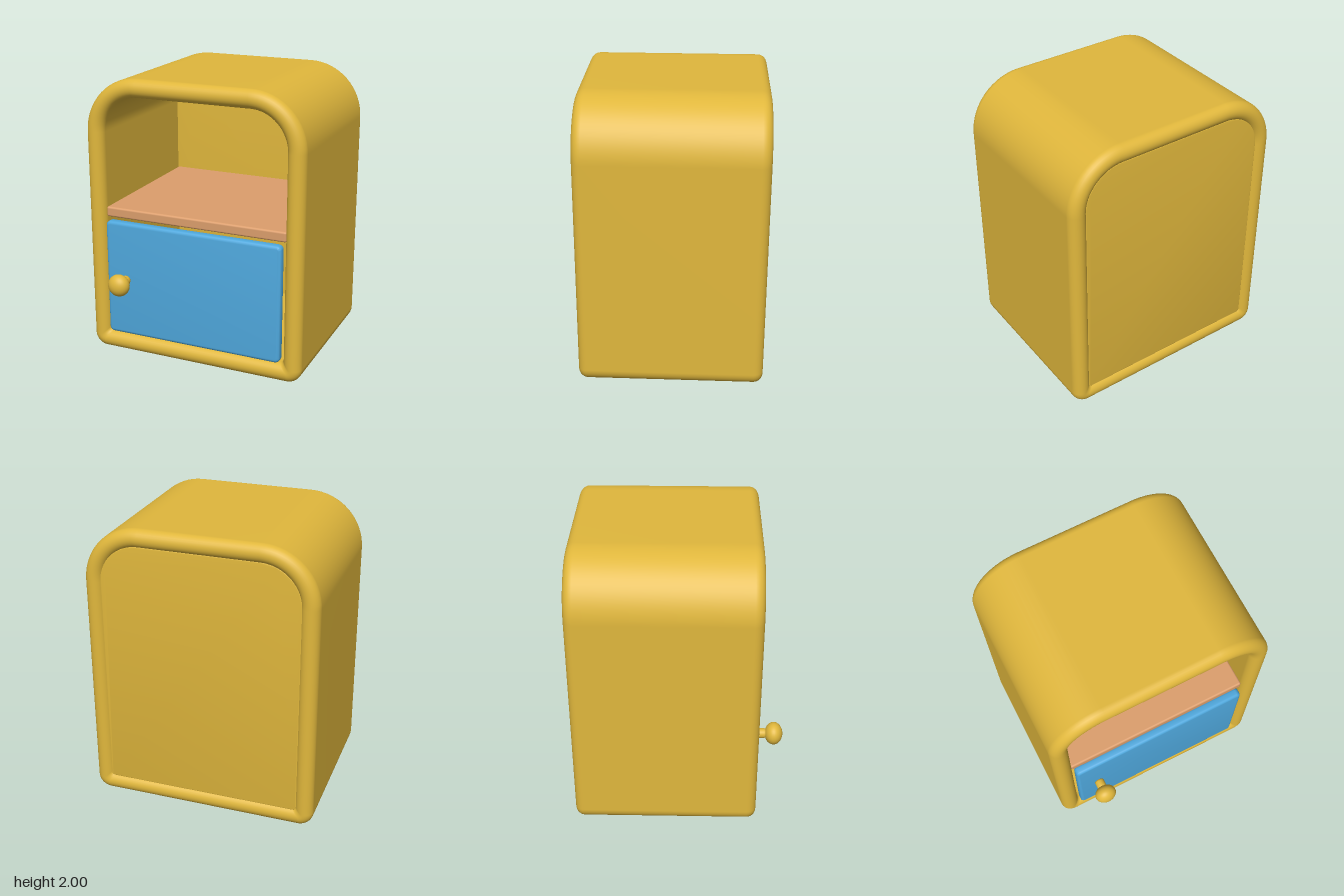
import * as THREE from 'three';
import { toCreasedNormals } from 'three/addons/utils/BufferGeometryUtils.js';
import { RoundedBoxGeometry } from 'three/addons/geometries/RoundedBoxGeometry.js';

const HALF_WIDTH = 0.8, HEIGHT = 2, WALL = 0.13;
const FRONT = 0.545, BACK = -0.725;

// Counter-clockwise rounded rectangle with separate bottom and top radii
function roundedOutline(x0, x1, y0, y1, bottomR, topR, segments = 16) {
  const corners = [
    [x1 - bottomR, y0 + bottomR, bottomR, -Math.PI / 2],
    [x1 - topR, y1 - topR, topR, 0],
    [x0 + topR, y1 - topR, topR, Math.PI / 2],
    [x0 + bottomR, y0 + bottomR, bottomR, Math.PI],
  ];
  const points = [];
  for (const [cx, cy, r, start] of corners) {
    for (let i = 0; i <= segments; i++) {
      const a = start + (i / segments) * Math.PI / 2;
      points.push(new THREE.Vector2(cx + r * Math.cos(a), cy + r * Math.sin(a)));
    }
  }
  return points;
}

// Cabinet outline moved inward by d
function cabinetOutline(d) {
  return roundedOutline(-HALF_WIDTH + d, HALF_WIDTH - d, d, HEIGHT - d,
    Math.max(0.1 - d, 0.025), 0.39 - d);
}

// Hollow shell: a wall section with round rims swept around the outline
function shellGeometry() {
  const r = WALL / 2, steps = 14, section = [];
  for (let i = 0; i <= steps; i++) {
    const a = (i / steps) * Math.PI;
    section.push([r - r * Math.cos(a), FRONT - r + r * Math.sin(a)]);
  }
  for (let i = 0; i <= steps; i++) {
    const a = (i / steps) * Math.PI;
    section.push([r + r * Math.cos(a), BACK + r - r * Math.sin(a)]);
  }
  const positions = [], index = [];
  const rings = section.map(([d, z]) => cabinetOutline(d).map((p) => [p.x, p.y, z]));
  const n = rings[0].length, m = rings.length;
  rings.forEach((ring) => ring.forEach((p) => positions.push(...p)));
  for (let j = 0; j < m; j++) {
    for (let i = 0; i < n; i++) {
      const i2 = (i + 1) % n, j2 = (j + 1) % m;
      const a = j * n + i, b = j * n + i2, c = j2 * n + i2, d = j2 * n + i;
      index.push(a, b, c, a, c, d);
    }
  }
  const geometry = new THREE.BufferGeometry();
  geometry.setAttribute('position', new THREE.Float32BufferAttribute(positions, 3));
  geometry.setIndex(index);
  geometry.computeVertexNormals();
  return geometry;
}

// Flat board with softened edges between two depths
function boardGeometry(points, z0, z1, bevel) {
  const geometry = new THREE.ExtrudeGeometry(new THREE.Shape(points), {
    depth: z1 - z0 - 2 * bevel, bevelEnabled: true, bevelSize: bevel,
    bevelThickness: bevel, bevelOffset: -bevel, bevelSegments: 4,
  });
  geometry.translate(0, 0, z0 + bevel);
  return toCreasedNormals(geometry, 0.6);
}

export function createModel() {
  const model = new THREE.Group();
  model.name = 'bedsideCabinet';

  const material = (name, color) => {
    const m = new THREE.MeshStandardMaterial({ color });
    m.name = name;
    return m;
  };
  const yellow = material('mustardYellow', 0xe0b73c);
  const blue = material('skyBlue', 0x4fa8dd);
  const wood = material('warmWood', 0xdc9e6c);

  const add = (name, geometry, mat, parent = model) => {
    const mesh = new THREE.Mesh(geometry, mat);
    mesh.name = name;
    parent.add(mesh);
    return mesh;
  };

  add('shell', shellGeometry(), yellow);

  // Back panel let into the rear rim, leaving a fine groove around it
  add('backPanel', boardGeometry(cabinetOutline(0.108), -0.702, -0.63, 0.014), yellow);

  // Shelf dividing the open niche from the cupboard
  const shelf = add('shelf', new RoundedBoxGeometry(1.345, 0.072, 1.145, 4, 0.014), wood);
  shelf.position.set(0, 1.039, -0.0725);

  // Cupboard door
  add('door', boardGeometry(roundedOutline(-0.656, 0.656, 0.145, 0.988, 0.035, 0.035, 8),
    0.48, 0.55, 0.022), blue);

  // Knob: short rounded stem and a flattened ball
  const knob = new THREE.Group();
  knob.name = 'knob';
  knob.position.set(-0.5, 0.568, 0);
  model.add(knob);
  const stemProfile = [[0, 0.545], [0.024, 0.547], [0.032, 0.553], [0.035, 0.562],
    [0.035, 0.596], [0.032, 0.605], [0.024, 0.611], [0, 0.613]]
    .map(([r, y]) => new THREE.Vector2(r, y));
  const stem = add('knobStem', new THREE.LatheGeometry(stemProfile, 24), yellow, knob);
  stem.rotation.x = Math.PI / 2;
  const ball = add('knobBall', new THREE.SphereGeometry(0.079, 32, 20), yellow, knob);
  ball.scale.z = 0.79;
  ball.position.z = 0.662;

  return model;
}
